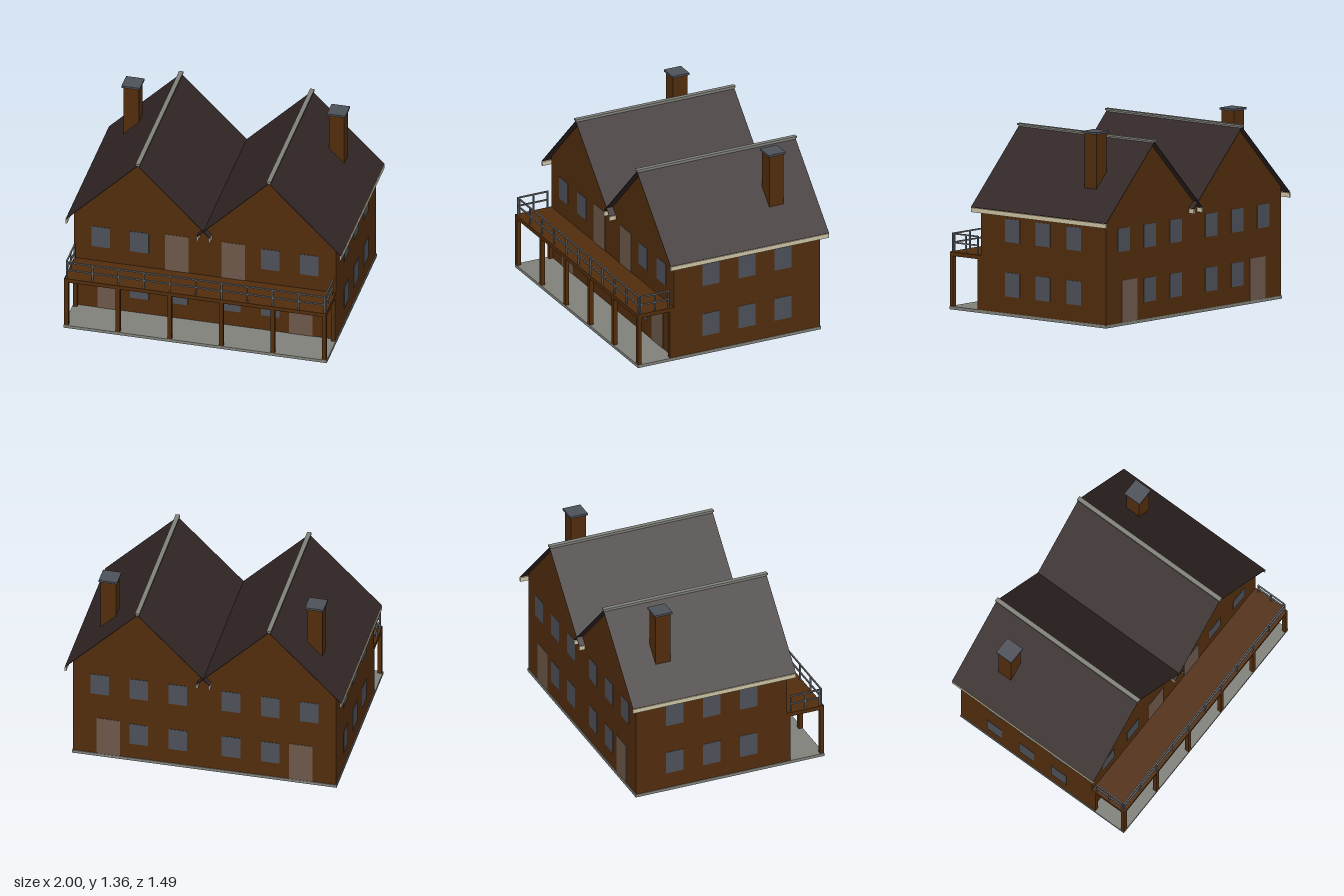
import * as THREE from 'three';

function mat(name, color) {
  const m = new THREE.MeshStandardMaterial({ color });
  m.name = name;
  return m;
}

export function createModel() {
  const wall = mat('brown wall', 0x522d0d);
  const roofMat = mat('dark roof', 0x332727);
  const glass = mat('slate glass', 0x4d5159);
  const doorMat = mat('door taupe', 0x6d584a);
  const stone = mat('grey stone', 0x82827c);
  const cream = mat('cream gutter', 0xcdc4a4);
  const metal = mat('railing grey', 0x686b6e);

  const house = new THREE.Group();
  house.name = 'house';

  // Box given by its limits on each axis
  function box(name, m, x0, x1, y0, y1, z0, z1) {
    const mesh = new THREE.Mesh(new THREE.BoxGeometry(x1 - x0, y1 - y0, z1 - z0), m);
    mesh.position.set((x0 + x1) / 2, (y0 + y1) / 2, (z0 + z1) / 2);
    mesh.name = name;
    house.add(mesh);
    return mesh;
  }

  const BACK = -0.695, FRONT = 0.46, SIDE = 0.95, FLOOR = 0.022, DECK = 0.41;
  const T = 0.003; // thickness of painted plates

  // Ground slab
  box('baseSlab', stone, -0.955, 0.955, 0, FLOOR, -0.7, 0.745);

  // Twin-gabled body
  const outline = new THREE.Shape([
    [-SIDE, FLOOR], [SIDE, FLOOR], [SIDE, 0.795], [0.475, 1.27],
    [0, 0.795], [-0.475, 1.27], [-SIDE, 0.795],
  ].map(([x, y]) => new THREE.Vector2(x, y)));
  const body = new THREE.Mesh(
    new THREE.ExtrudeGeometry(outline, { depth: FRONT - BACK, bevelEnabled: false }), wall);
  body.position.z = BACK;
  body.name = 'walls';
  house.add(body);

  // Thin plate on the front (+1) or back (-1) wall
  function gablePlate(name, m, x, y0, y1, w, dir) {
    const z = dir > 0 ? FRONT : BACK;
    box(name, m, x - w / 2, x + w / 2, y0, y1, z - T, z + T);
  }

  const upper = [0.527, 0.693], lower = [0.14, 0.31];
  const winW = 0.134, doorW = 0.17;
  for (const s of [-1, 1]) {
    // Roof panels, ridge cap and gutters of one gable
    const run = 0.522;
    for (const d of [-1, 1]) {
      const panel = new THREE.Mesh(
        new THREE.BoxGeometry(run * Math.SQRT2, 0.004, 1.25), roofMat);
      panel.position.set(s * 0.475 + d * run / 2, 1.275 - run / 2, -0.115);
      panel.rotation.z = -d * Math.PI / 4;
      panel.name = 'roofPanel';
      house.add(panel);
      const gx = s * 0.475 + d * 0.519;
      box('gutter', cream, gx - 0.006, gx + 0.006, 0.718, 0.75, -0.74, 0.51);
    }
    const rx = s * 0.475;
    box('ridgeCap', stone, rx - 0.016, rx + 0.016, 1.28, 1.293, -0.745, 0.515);
    box('ridgeStem', stone, rx - 0.008, rx + 0.008, 1.268, 1.28, -0.74, 0.51);

    // Chimney
    const cx = s * 0.745, cz = -0.425;
    box('chimney', wall, cx - 0.056, cx + 0.056, 0.85, 1.341, cz - 0.056, cz + 0.056);
    box('chimneyCap', glass, cx - 0.067, cx + 0.067, 1.341, 1.356, cz - 0.067, cz + 0.067);

    // Front and back windows and doors
    for (const dir of [1, -1]) {
      for (const x of [0.757, 0.475]) gablePlate('upperWindow', glass, s * x, ...upper, winW, dir);
      for (const x of [0.475, 0.192]) gablePlate('lowerWindow', glass, s * x, ...lower, winW, dir);
      gablePlate('lowerDoor', doorMat, s * 0.695, FLOOR, 0.322, doorW, dir);
    }
    gablePlate('balconyDoor', doorMat, s * 0.205, DECK, 0.707, doorW, 1);
    gablePlate('upperWindow', glass, s * 0.192, ...upper, winW, -1);

    // Side windows
    for (const z of [0.167, -0.117, -0.4]) {
      for (const [y0, y1] of [upper, lower]) {
        box('sideWindow', glass, s * SIDE - T, s * SIDE + T, y0, y1, z - winW / 2, z + winW / 2);
      }
    }

    // Wall-side posts of the veranda
    box('wallPost', wall, s * 0.935 - 0.015, s * 0.935 + 0.015, FLOOR, 0.38, FRONT, 0.49);

    // Side railing
    const x = s * 0.938, r = 0.005;
    for (const y of [0.475, 0.538]) box('sideRail', metal, x - r, x + r, y - r, y + r, 0.49, 0.72);
    for (const z of [0.495, 0.605, 0.715]) {
      box('sideBaluster', metal, x - r, x + r, DECK, 0.54, z - r, z + r);
    }
  }

  // Balcony deck with a grey soffit
  box('balconyDeck', wall, -SIDE, SIDE, 0.38, DECK, FRONT, 0.745);
  box('deckSoffit', stone, -0.92, 0.92, 0.377, 0.381, FRONT, 0.715);

  // Veranda posts
  for (let i = 0; i < 6; i++) {
    const x = -0.935 + i * 0.374;
    box('frontPost', wall, x - 0.015, x + 0.015, FLOOR, 0.38, 0.715, 0.745);
  }

  // Front railing
  for (const y of [0.475, 0.538]) {
    box('frontRail', metal, -0.94, 0.94, y - 0.005, y + 0.005, 0.725, 0.735);
  }
  for (let i = 0; i < 11; i++) {
    const x = -0.935 + i * 0.187;
    box('frontBaluster', metal, x - 0.005, x + 0.005, DECK, 0.54, 0.725, 0.735);
  }

  return house;
}
